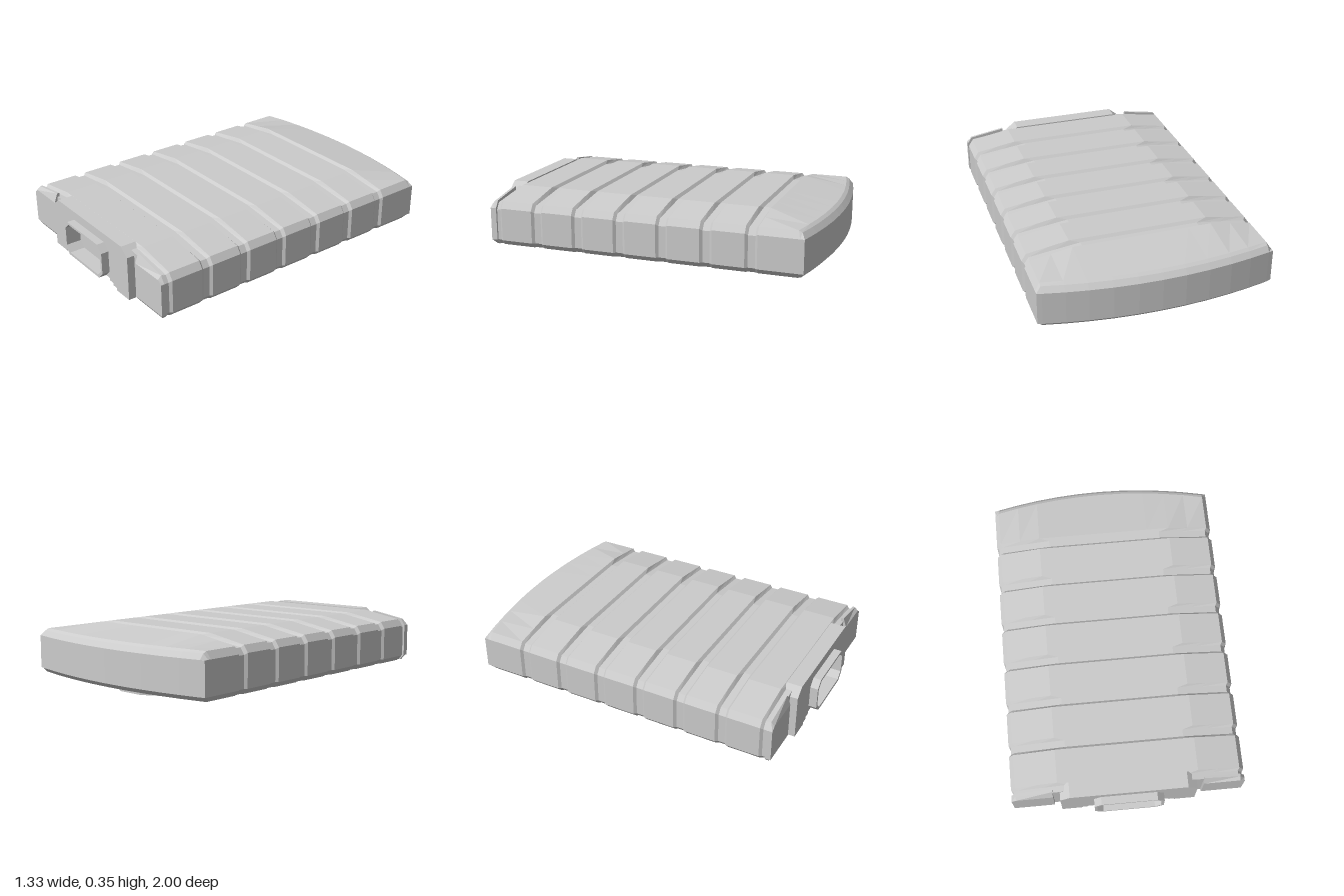
import * as THREE from 'three';

const mat = new THREE.MeshStandardMaterial({ color: 0xcccccc, flatShading: true });

// Solid between cross-sections running front to back; each has a top and bottom chain in rising x
function loft(stations) {
  const pos = [];
  const quad = (a, b, c, d) => pos.push(...a, ...b, ...c, ...a, ...c, ...d);
  const n = stations[0].top.length;
  const first = stations[0], last = stations[stations.length - 1];
  for (let s = 0; s < stations.length - 1; s++) {
    const p = stations[s], q = stations[s + 1];
    for (let i = 0; i < n - 1; i++) {
      quad(p.top[i], p.top[i + 1], q.top[i + 1], q.top[i]);
      quad(q.bottom[i], q.bottom[i + 1], p.bottom[i + 1], p.bottom[i]);
    }
    quad(p.bottom[n - 1], q.bottom[n - 1], q.top[n - 1], p.top[n - 1]);
    quad(p.top[0], q.top[0], q.bottom[0], p.bottom[0]);
  }
  for (let i = 0; i < n - 1; i++) {
    quad(first.bottom[i], first.bottom[i + 1], first.top[i + 1], first.top[i]);
    quad(last.top[i], last.top[i + 1], last.bottom[i + 1], last.bottom[i]);
  }
  const g = new THREE.BufferGeometry();
  g.setAttribute('position', new THREE.Float32BufferAttribute(pos, 3));
  g.computeVertexNormals();
  return g;
}

// Half profile rows [x, topY, bottomY], from the middle outwards
function halfProfile(groove) {
  const [cx, cy, sx, sy, ex, ey] = groove
    ? [0.34, 0.335, 0.63, 0.297, 0.655, 0.26]
    : [0.40, 0.35, 0.64, 0.31, 0.667, 0.27];
  return [
    [0, cy, 0.05], [cx * 0.33, cy, 0.05], [cx * 0.67, cy, 0.05], [cx, cy, 0.05],
    [(cx + sx) / 2, (cy + sy) / 2, 0.05], [sx, sy, 0.05], [ex, ey, 0.08],
  ];
}

// Place profile rows at depth z, limited in height and bowed backwards when asked
function station(rows, z, lo = 0, hi = 1, bowed = false) {
  const at = (x, y) => [x, Math.min(hi, Math.max(lo, y)), z + (bowed ? 0.08 * (x / 0.667) ** 2 : 0)];
  return { top: rows.map(r => at(r[0], r[1])), bottom: rows.map(r => at(r[0], r[2])) };
}

const mirrorRows = half => [...half.slice(1).reverse().map(([x, t, b]) => [-x, t, b]), ...half];

const polygon = pts => pts.map(([x, y]) => new THREE.Vector2(x, y));
const mirrorLoop = half => [...half, ...half.slice().reverse().map(([x, y]) => [-x, y])];

function octagon(w, y0, y1, c) {
  return mirrorLoop([[w - c, y0], [w, y0 + c], [w, y1 - c], [w - c, y1]]);
}

function extrude(points, depth, hole) {
  const shape = new THREE.Shape(polygon(points));
  if (hole) shape.holes.push(new THREE.Path(polygon(hole)));
  return new THREE.ExtrudeGeometry(shape, { depth, bevelEnabled: false });
}

export function createModel() {
  const model = new THREE.Group();
  const add = (name, geometry) => {
    const mesh = new THREE.Mesh(geometry, mat);
    mesh.name = name;
    model.add(mesh);
    return mesh;
  };

  // Ribbed case: grooves wrap over the top and sides, the back is bowed and chamfered
  const raised = mirrorRows(halfProfile(false));
  const groove = mirrorRows(halfProfile(true));
  const stations = [station(groove, 0.91), station(groove, 0.875), station(raised, 0.86)];
  for (let i = 0; i < 6; i++) {
    const z = 0.635 - i * 0.2535;
    stations.push(station(raised, z + 0.035), station(groove, z + 0.02),
      station(groove, z - 0.02), station(raised, z - 0.035));
  }
  stations.push(
    station(raised, -0.955, 0.05, 0.312, true),
    station(raised, -0.975, 0.055, 0.30, true),
    station(raised, -1.0, 0.08, 0.27, true));
  add('case', loft(stations));

  // Front lobes beside the end block
  const lobe = [[0.43, 0.345, 0.05], [0.64, 0.31, 0.05], [0.667, 0.27, 0.08]];
  for (const side of [1, -1]) {
    const rows = side > 0 ? lobe : lobe.map(([x, t, b]) => [-x, t, b]).reverse();
    add(side > 0 ? 'leftFrontLobe' : 'rightFrontLobe', loft([
      station(rows, 0.93, 0.08, 0.29), station(rows, 0.91), station(rows, 0.895)]));
  }

  // End block with a socket window and a stepped notch underneath
  const socket = octagon(0.185, 0.11, 0.29, 0.035);
  const block = mirrorLoop([
    [0.20, 0.095], [0.20, 0.08], [0.235, 0.08], [0.235, 0.065], [0.27, 0.065], [0.27, 0.05],
    [0.39, 0.05], [0.39, 0.31], [0.335, 0.355]]);
  add('endBlock', extrude(block, 0.09, socket)).position.z = 0.865;

  // Raised rim around the socket
  add('socketRim', extrude(octagon(0.20, 0.095, 0.303, 0.04), 0.045, socket)).position.z = 0.955;

  // Base plate outline in x and -z, with two clip notches on each side
  const clips = [0.185, -0.41];
  const half = [[0.08, -0.43], [0.20, -0.50], [0.325, -0.50], [0.395, -0.43]];
  for (const z of clips) {
    half.push([0.395, -z - 0.135], [0.35, -z - 0.135], [0.35, -z + 0.135], [0.395, -z + 0.135]);
  }
  half.push([0.395, 0.66], [0.325, 0.75], [0.20, 0.75], [0.08, 0.82]);
  const plate = extrude(mirrorLoop(half), 0.052);
  plate.rotateX(-Math.PI / 2);
  add('basePlate', plate);

  // Stepped clips inside the notches
  for (const side of [1, -1]) {
    for (const z of clips) {
      add('clipStep', new THREE.BoxGeometry(0.03, 0.032, 0.27)).position.set(side * 0.36, 0.036, z);
      add('clipLip', new THREE.BoxGeometry(0.045, 0.016, 0.21)).position.set(side * 0.37, 0.044, z);
    }
  }
  return model;
}
